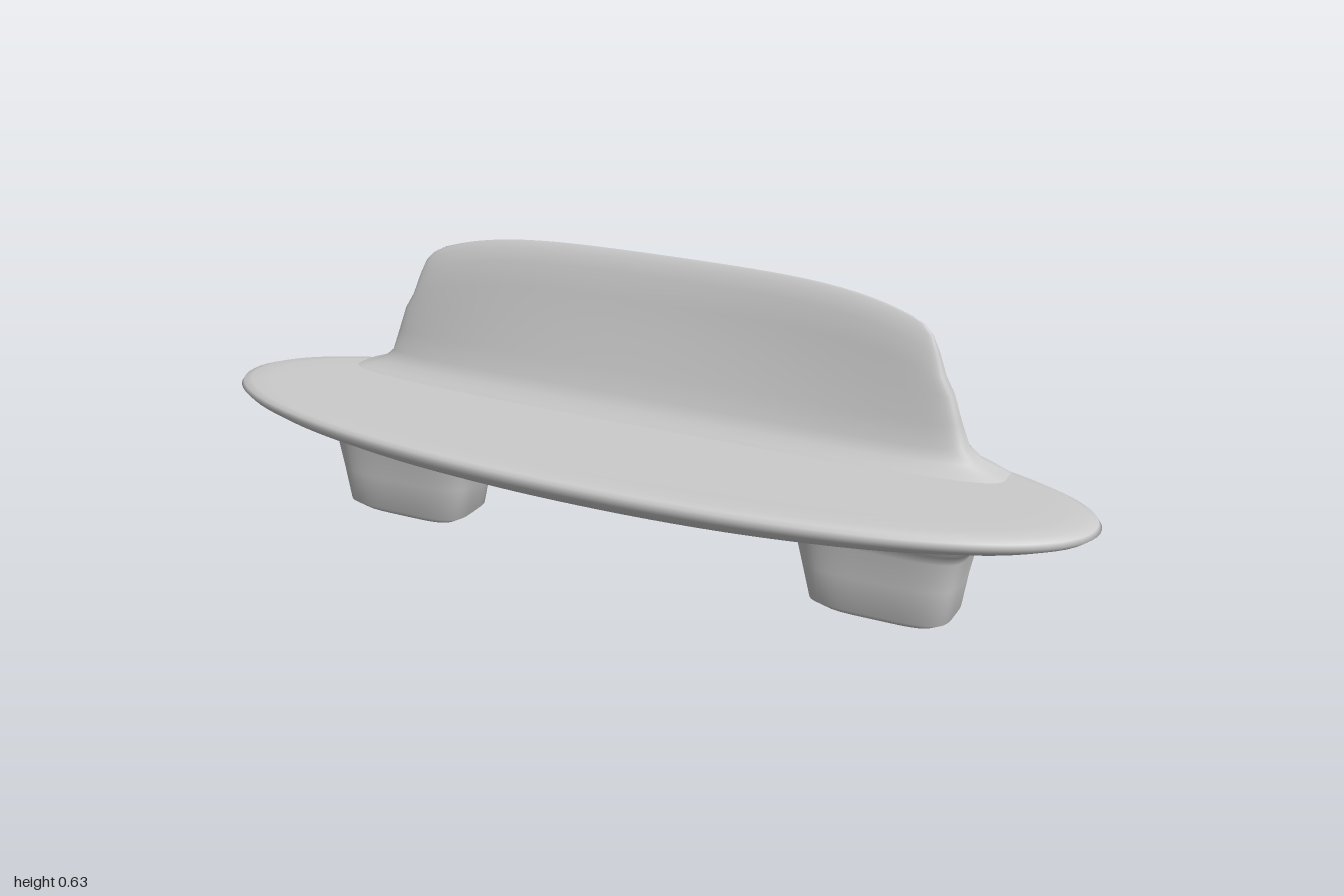
import * as THREE from 'three';
import { mergeVertices } from 'three/addons/utils/BufferGeometryUtils.js';

const material = new THREE.MeshStandardMaterial({ color: 0xcccccc, side: THREE.DoubleSide });
const SEGMENTS = 96;

// Smooth skin over rows listed from bottom to top; point(row, u, v) places a
// rim point, where (u, v) lies on a unit superellipse of the given power.
function loft(name, rows, power, point) {
  const positions = [], index = [];
  rows.forEach((row, i) => {
    for (let j = 0; j < SEGMENTS; j++) {
      const t = (j / SEGMENTS) * Math.PI * 2;
      const c = Math.cos(t), s = Math.sin(t);
      const r = (Math.abs(c) ** power + Math.abs(s) ** power) ** (-1 / power);
      positions.push(...point(row, r * c, r * s));
      if (i === rows.length - 1) continue;
      const a = i * SEGMENTS + j, b = i * SEGMENTS + ((j + 1) % SEGMENTS);
      index.push(a, a + SEGMENTS, b, b, a + SEGMENTS, b + SEGMENTS);
    }
  });
  let geometry = new THREE.BufferGeometry();
  geometry.setAttribute('position', new THREE.Float32BufferAttribute(positions, 3));
  geometry.setIndex(index);
  geometry = mergeVertices(geometry, 1e-4);
  geometry.computeVertexNormals();
  const mesh = new THREE.Mesh(geometry, material);
  mesh.name = name;
  return mesh;
}

// Oval seat: [scale, y], bowl-shaped underneath, nearly flat on top
function makeSeat() {
  const rows = [
    [0, 0.19], [0.28, 0.191], [0.52, 0.2], [0.69, 0.21], [0.8, 0.222], [0.88, 0.235],
    [0.95, 0.25], [0.985, 0.262], [1, 0.273], [0.993, 0.283], [0.97, 0.29],
    [0.92, 0.294], [0.8, 0.293], [0.5, 0.291], [0, 0.291],
  ];
  return loft('seat', rows, 2.1, ([s, y], u, v) => [s * u, y, 0.291 * s * v]);
}

// Backrest: [y, half width, front z, back z], flaring into the seat at its foot
function makeBackrest() {
  const rows = [
    [0.285, 0.80, -0.055, -0.275], [0.3, 0.76, -0.068, -0.266], [0.315, 0.715, -0.082, -0.255],
    [0.34, 0.688, -0.097, -0.241], [0.39, 0.67, -0.108, -0.23], [0.47, 0.652, -0.125, -0.222],
    [0.54, 0.632, -0.134, -0.22], [0.595, 0.615, -0.145, -0.214], [0.622, 0.6, -0.157, -0.203],
    [0.634, 0.58, -0.165, -0.196], [0.638, 0.55, -0.169, -0.189],
  ];
  return loft('backrest', rows, 4, ([y, w, front, back], u, v) => {
    const x = w * u;
    const height = THREE.MathUtils.smoothstep(y, 0.3, 0.6);
    const f = front - 0.02 * height;
    // the back wraps round the seat, the front straightens toward the foot
    const bend = 0.035 * (x / 0.6) ** 2 * THREE.MathUtils.lerp(1, height, (v + 1) / 2);
    // the top edge droops toward the ends
    const droop = 0.062 * (Math.abs(x) / 0.6) ** 4.5 * THREE.MathUtils.smoothstep(y, 0.4, 0.6);
    return [x, y - droop, (f + back) / 2 + ((f - back) / 2) * v + bend];
  });
}

// Block leg: [y, inner x, outer x, front z, back z], with a hollowed underside
function makeLeg(side) {
  const rows = [
    [0.012, 0.565, 0.565, -0.03, -0.03], [0.009, 0.50, 0.64, 0.0, -0.062],
    [0.003, 0.44, 0.70, 0.032, -0.094], [0.022, 0.418, 0.72, 0.054, -0.112],
    [0.1, 0.4, 0.732, 0.06, -0.114], [0.165, 0.384, 0.745, 0.063, -0.115],
    [0.185, 0.37, 0.755, 0.07, -0.12], [0.2, 0.34, 0.775, 0.083, -0.135],
    [0.23, 0.31, 0.79, 0.09, -0.145],
  ];
  return loft(side > 0 ? 'leftLeg' : 'rightLeg', rows, 4.5, ([y, a, b, front, back], u, v) => {
    const hollow = y < 0.01 ? 0.009 * (1 - v * v) : 0;
    return [
      (side * (a + b)) / 2 + ((b - a) / 2) * u,
      Math.min(y + hollow, Math.max(y, 0.012)),
      (front + back) / 2 + ((front - back) / 2) * v,
    ];
  });
}

export function createModel() {
  const model = new THREE.Group();
  model.name = 'bench';
  model.add(makeSeat(), makeBackrest(), makeLeg(1), makeLeg(-1));
  return model;
}
